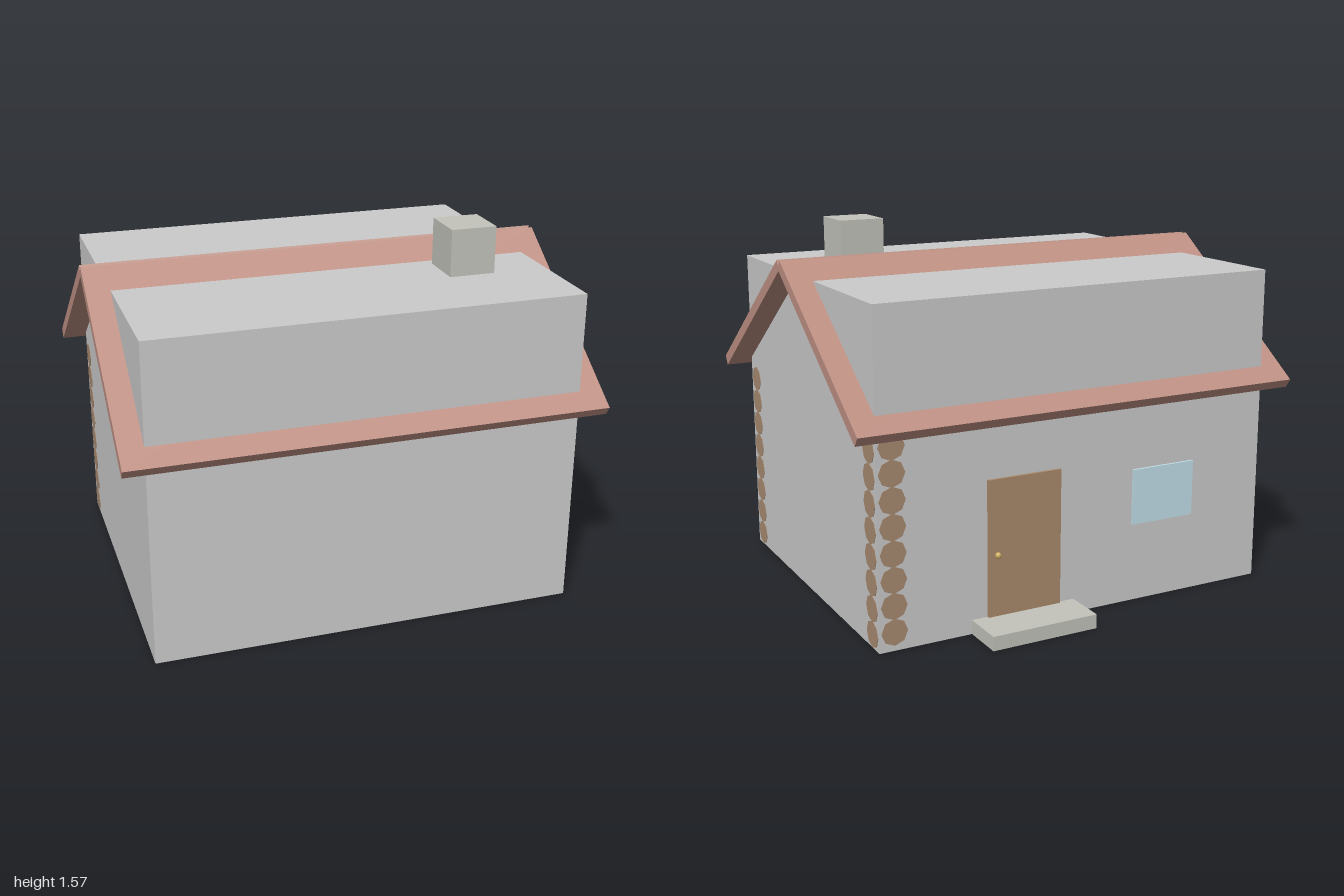
import * as THREE from 'three';

const mat = (color) => new THREE.MeshStandardMaterial({ color, flatShading: true });

export function createModel() {
  const house = new THREE.Group();
  house.name = 'cabin';
  const grey = mat(0xcccccc), wood = mat(0xa88b71), roofing = mat(0xbe9083);
  const stone = mat(0xc3c4bc), doorWood = mat(0xab8a6b), glass = mat(0xc4e0ea), brass = mat(0xd0b060);

  // Box given by its limits on each axis
  const box = (name, material, [x0, x1], [y0, y1], [z0, z1], parent = house) => {
    const mesh = new THREE.Mesh(new THREE.BoxGeometry(x1 - x0, y1 - y0, z1 - z0), material);
    mesh.position.set((x0 + x1) / 2, (y0 + y1) / 2, (z0 + z1) / 2);
    mesh.name = name;
    parent.add(mesh);
    return mesh;
  };

  // Main block and the timber floor under it
  box('body', grey, [-0.9, 0.9], [0, 1.37], [-0.68, 0.785]);
  box('floor', wood, [-0.82, 0.82], [-0.001, 0.04], [-0.14, 0.7]);

  // Log walls: ends lie almost flush with the block's faces
  const logGeometry = new THREE.CylinderGeometry(0.056, 0.056, 1, 8);
  const logWall = (name, alongX, length, x, z, lift) => {
    const wall = new THREE.Group();
    wall.name = name;
    for (let i = 0; i < 8; i++) {
      const log = new THREE.Mesh(logGeometry, wood);
      log.name = 'log';
      log.scale.y = length;
      if (alongX) log.rotation.z = Math.PI / 2;
      else log.rotation.x = Math.PI / 2;
      log.position.set(x, 0.058 + lift + i * 0.1068, z);
      wall.add(log);
    }
    house.add(wall);
  };
  logWall('frontLogs', true, 1.8, 0.002, 0.72, 0);
  logWall('backLogs', true, 1.804, 0, -0.615, 0);
  logWall('leftLogs', false, 1.465, 0.835, 0.0505, 0.02);
  logWall('rightLogs', false, 1.461, -0.835, 0.0525, 0.02);

  // Two sloping roof slabs meeting at the ridge
  for (const side of [1, -1]) {
    const slab = new THREE.Mesh(new THREE.BoxGeometry(2, 0.046, 0.964), roofing);
    slab.name = side > 0 ? 'frontRoof' : 'backRoof';
    slab.position.set(0, 1.152, 0.0525 + side * 0.4005);
    slab.rotation.x = side * 0.604;
    house.add(slab);
  }

  // Chimney and doorstep
  box('chimney', stone, [0.465, 0.662], [1.0, 1.57], [0.22, 0.42]);
  box('doorstep', stone, [0.03, 0.5], [0, 0.06], [-0.865, -0.67]);

  // Door with knob, and window, on the back wall
  box('door', doorWood, [0.1, 0.43], [0.06, 0.635], [-0.692, -0.67]);
  const knob = new THREE.Mesh(new THREE.SphereGeometry(0.013, 8, 6), brass);
  knob.name = 'doorKnob';
  knob.position.set(0.39, 0.32, -0.697);
  house.add(knob);
  box('window', glass, [-0.55, -0.25], [0.34, 0.58], [-0.69, -0.67]);

  return house;
}
